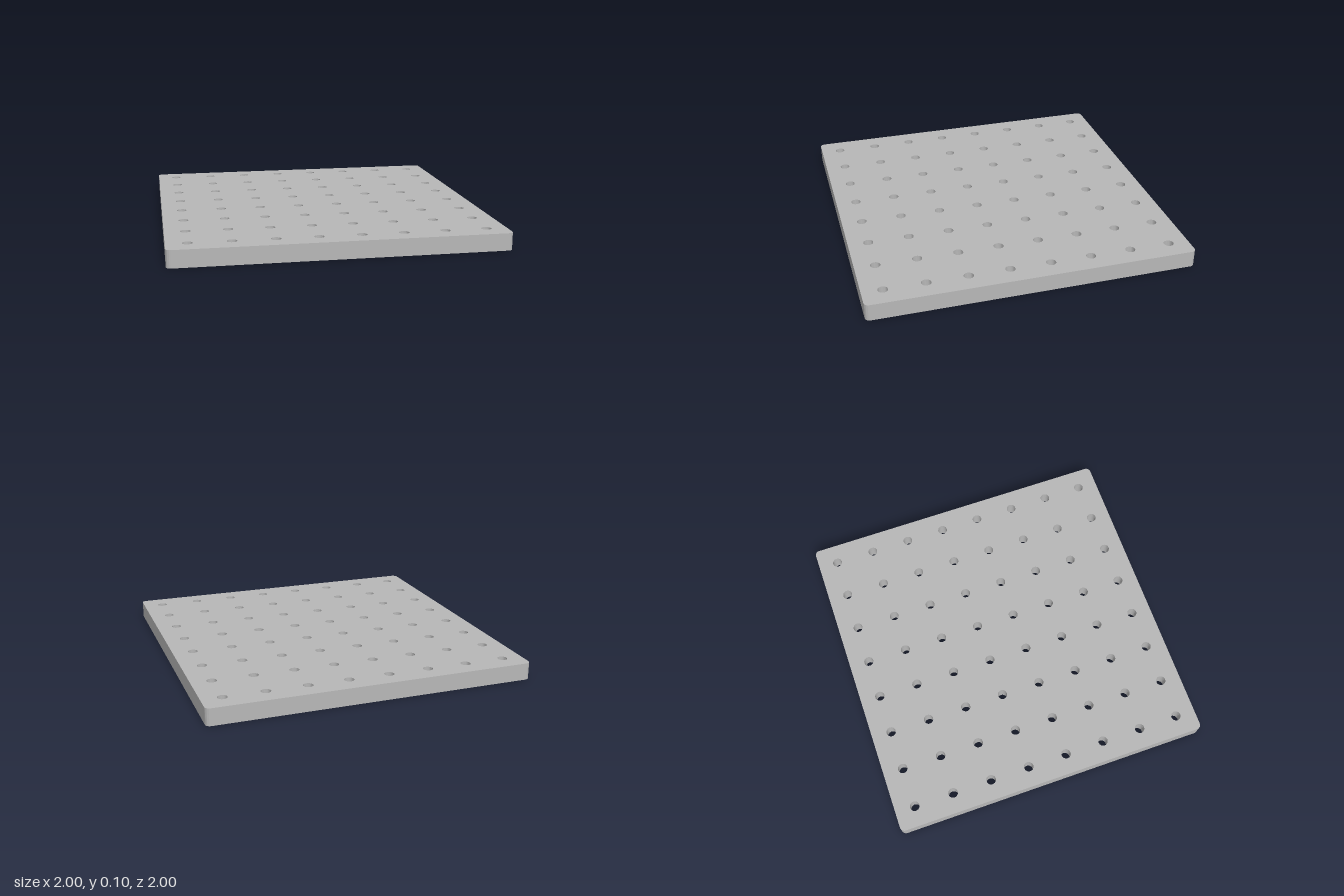
import * as THREE from 'three';
import { toCreasedNormals } from 'three/addons/utils/BufferGeometryUtils.js';

const HEIGHT = 0.105;
const DECK = 0.038;     // thickness of the top panel
const WALL = 0.03;      // outer wall and rib thickness
const PITCH = 0.25;     // hole spacing
const HOLE_R = 0.03;
const BOSS_R = 0.052;

// Square outline with rounded corners
function roundedSquare(half, r) {
  const s = new THREE.Shape();
  const c = half - r;
  s.absarc(c, c, r, 0, Math.PI / 2);
  s.absarc(-c, c, r, Math.PI / 2, Math.PI);
  s.absarc(-c, -c, r, Math.PI, Math.PI * 1.5);
  s.absarc(c, -c, r, Math.PI * 1.5, Math.PI * 2);
  s.closePath();
  return s;
}

function circlePath(x, y, r) {
  return new THREE.Path().absarc(x, y, r, 0, Math.PI * 2, true);
}

function rectPath(x0, x1, y0, y1) {
  return new THREE.Path([[x0, y0], [x0, y1], [x1, y1], [x1, y0]].map(p => new THREE.Vector2(...p)));
}

// Extrude a plan outline upward from y0 to y1
function extrudeUp(shape, y0, y1, curveSegments) {
  const g = new THREE.ExtrudeGeometry(shape, { depth: y1 - y0, bevelEnabled: false, curveSegments });
  g.rotateX(-Math.PI / 2).translate(0, y0, 0);
  return toCreasedNormals(g, 0.7);
}

export function createModel() {
  const group = new THREE.Group();
  group.name = 'perforatedPanel';
  const grey = new THREE.MeshStandardMaterial({ color: 0xb8b8b8 });
  grey.name = 'grey';

  const add = (name, geometry) => {
    const mesh = new THREE.Mesh(geometry, grey);
    mesh.name = name;
    group.add(mesh);
    return mesh;
  };

  const centres = Array.from({ length: 8 }, (_, i) => (i - 3.5) * PITCH);
  const underside = HEIGHT - DECK;

  // Top panel with an 8 x 8 grid of through holes
  const deck = roundedSquare(1, 0.03);
  for (const x of centres) for (const z of centres) deck.holes.push(circlePath(x, z, HOLE_R));
  add('topPanel', extrudeUp(deck, underside, HEIGHT, 12));

  // Outer wall and cross ribs, leaving 4 x 4 open cells
  const frame = roundedSquare(1, 0.03);
  const spans = [-1, -0.5, 0, 0.5].map(a => [
    a === -1 ? -1 + WALL : a + WALL / 2,
    a === 0.5 ? 1 - WALL : a + 0.5 - WALL / 2,
  ]);
  for (const [x0, x1] of spans) for (const [z0, z1] of spans) frame.holes.push(rectPath(x0, x1, z0, z1));
  add('wallAndRibs', extrudeUp(frame, 0, underside, 12));

  // Hollow boss below each hole
  const ring = new THREE.Shape().absarc(0, 0, BOSS_R, 0, Math.PI * 2);
  ring.holes.push(circlePath(0, 0, HOLE_R));
  const bossGeometry = extrudeUp(ring, 0, underside, 12);
  for (const x of centres) for (const z of centres) add('boss', bossGeometry).position.set(x, 0, z);

  return group;
}
